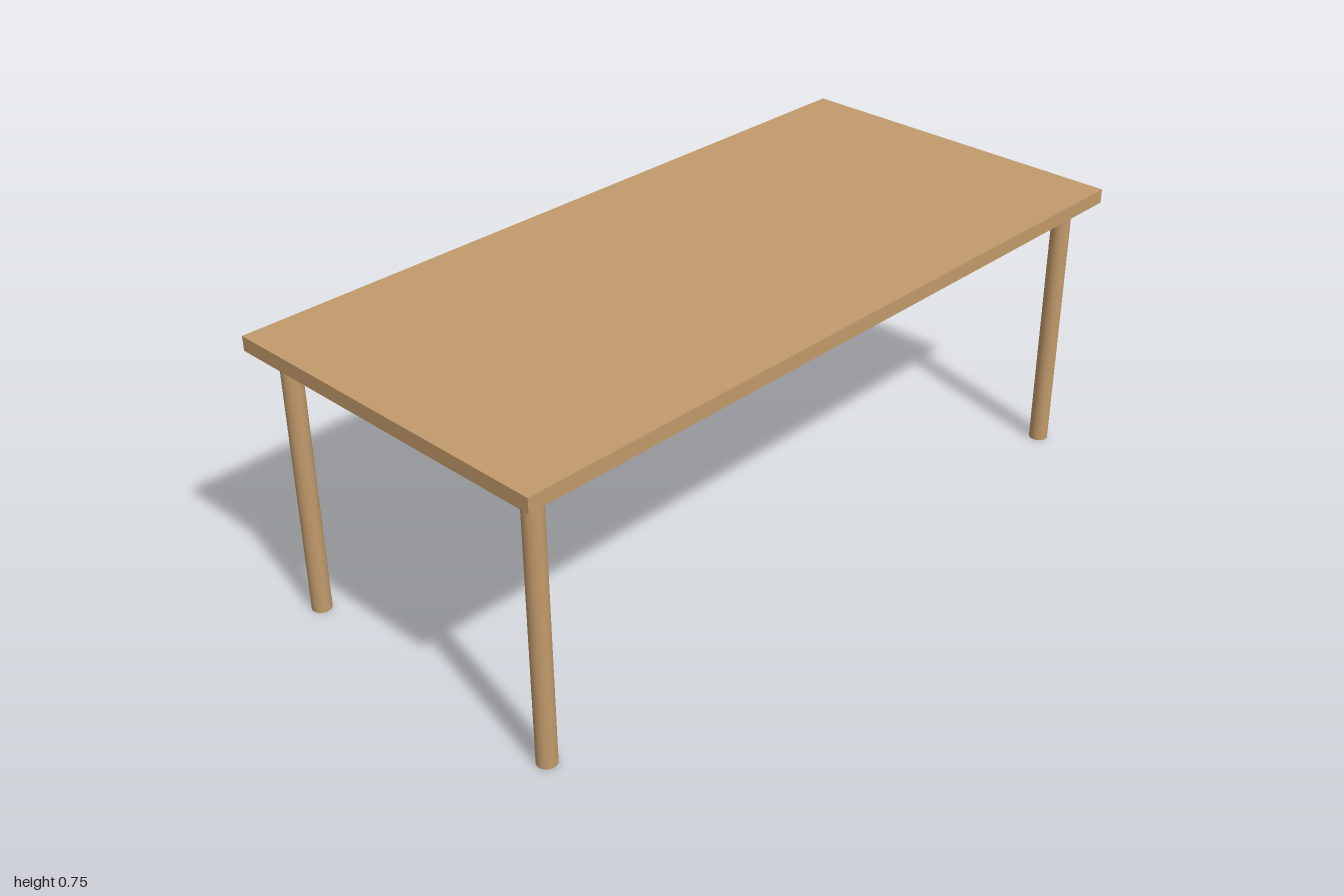
import * as THREE from 'three';

const HEIGHT = 0.75;
const TOP_THICKNESS = 0.0375;
const LEG_RADIUS = 0.025;
const LEG_X = 0.93;
const LEG_Z = 0.405;

export function createModel() {
  const table = new THREE.Group();
  table.name = 'table';
  const wood = new THREE.MeshStandardMaterial({ color: 0xc19a6b });

  // Flat rectangular top
  const top = new THREE.Mesh(new THREE.BoxGeometry(2, TOP_THICKNESS, 0.95), wood);
  top.name = 'tableTop';
  top.position.y = HEIGHT - TOP_THICKNESS / 2;
  table.add(top);

  // Four round legs, one near each corner
  const legHeight = HEIGHT - TOP_THICKNESS;
  const legGeometry = new THREE.CylinderGeometry(LEG_RADIUS, LEG_RADIUS, legHeight, 32);
  for (const [sideName, sx] of [['Left', 1], ['Right', -1]]) {
    for (const [endName, sz] of [['front', 1], ['back', -1]]) {
      const leg = new THREE.Mesh(legGeometry, wood);
      leg.name = `${endName}${sideName}Leg`;
      leg.position.set(sx * LEG_X, legHeight / 2, sz * LEG_Z);
      table.add(leg);
    }
  }

  return table;
}
